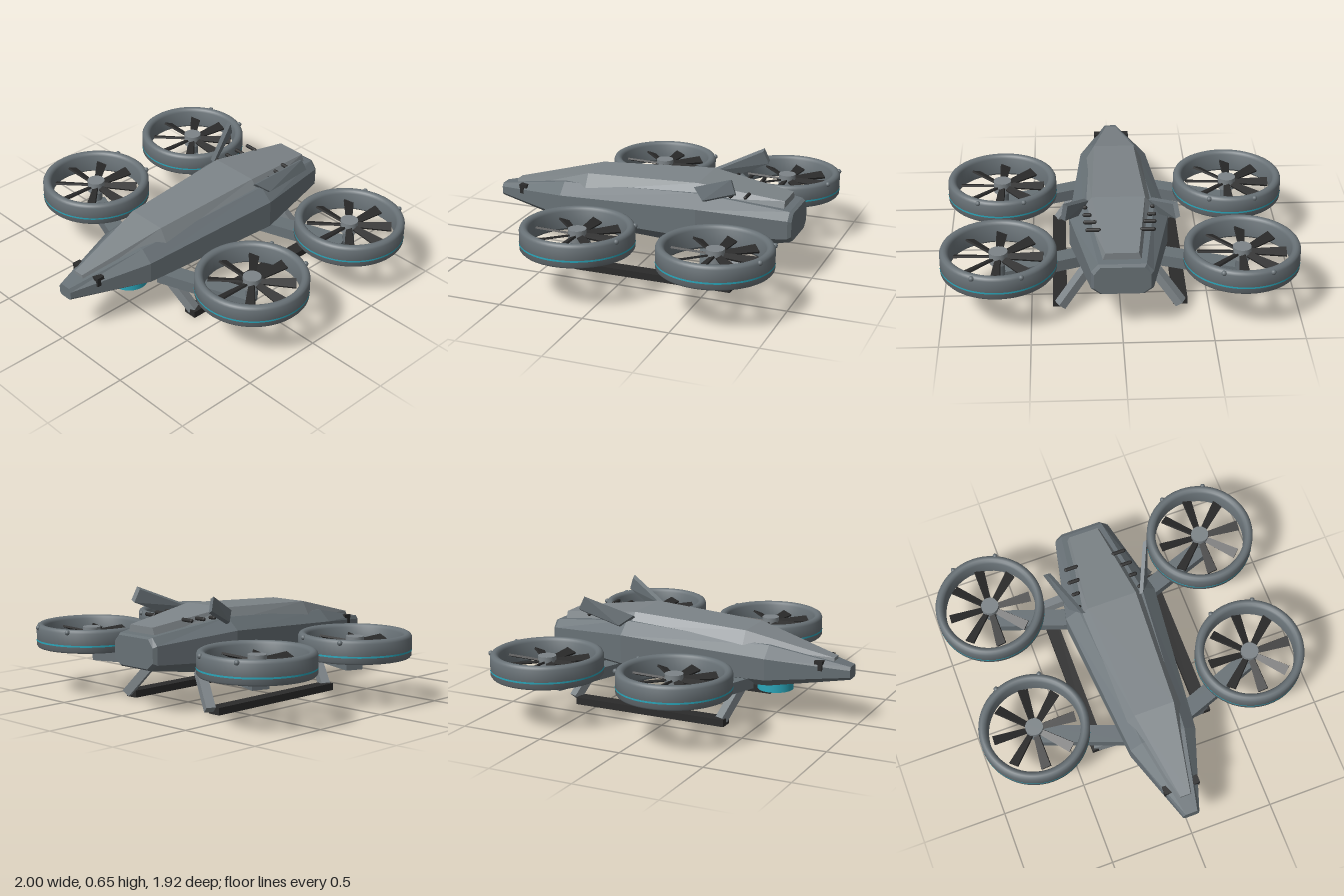
import * as THREE from 'three';
import { toCreasedNormals } from 'three/addons/utils/BufferGeometryUtils.js';
import { ConvexGeometry } from 'three/addons/geometries/ConvexGeometry.js';

const mat = (name, color) => {
  const m = new THREE.MeshStandardMaterial({ color });
  m.name = name;
  return m;
};
const V = (x, y, z) => new THREE.Vector3(x, y, z);

// Faceted hull through cross-sections listed front to back, each counter-clockwise from the front
function loft(sections) {
  const n = sections[0].length, pos = sections.flat(2), idx = [], last = (sections.length - 1) * n;
  for (let i = 0; i < sections.length - 1; i++) {
    for (let j = 0; j < n; j++) {
      const a = i * n + j, b = i * n + (j + 1) % n, c = b + n, d = a + n;
      idx.push(a, d, c, a, c, b);
    }
  }
  for (let j = 1; j < n - 1; j++) idx.push(0, j, j + 1, last, last + j + 1, last + j);
  const g = new THREE.BufferGeometry();
  g.setAttribute('position', new THREE.Float32BufferAttribute(pos, 3));
  g.setIndex(idx);
  const flat = g.toNonIndexed();
  flat.computeVertexNormals();
  return flat;
}

export function createModel() {
  const root = new THREE.Group();
  root.name = 'quadRotorDrone';
  const hullGrey = mat('hullGrey', 0x687176);
  const panelGrey = mat('panelGrey', 0x7d8488);
  const dark = mat('charcoal', 0x2b2b2b);
  const cyan = mat('cyan', 0x2aa6ba);

  const add = (name, geo, material, parent = root, x = 0, y = 0, z = 0) => {
    const m = new THREE.Mesh(geo, material);
    m.name = name;
    m.position.set(x, y, z);
    parent.add(m);
    return m;
  };
  // Box running from a to b
  const beam = (name, a, b, w, h, material) => {
    const mid = a.clone().add(b).multiplyScalar(0.5);
    const m = add(name, new THREE.BoxGeometry(w, h, a.distanceTo(b)), material, root, mid.x, mid.y, mid.z);
    m.lookAt(b);
    return m;
  };

  // Fuselage: octagonal sections [z, half width, top and bottom half widths, four heights]
  const oct = ([z, w, wt, wb, yb, y1, y2, yt]) => [
    [wb, yb, z], [w, y1, z], [w, y2, z], [wt, yt, z],
    [-wt, yt, z], [-w, y2, z], [-w, y1, z], [-wb, yb, z]];
  add('fuselage', loft([
    [0.96, 0.048, 0.035, 0.035, 0.27, 0.285, 0.325, 0.345],
    [0.50, 0.20, 0.13, 0.13, 0.20, 0.25, 0.375, 0.44],
    [-0.38, 0.28, 0.20, 0.19, 0.18, 0.26, 0.43, 0.50],
    [-0.89, 0.17, 0.13, 0.12, 0.248, 0.285, 0.39, 0.435],
    [-0.91, 0.155, 0.12, 0.11, 0.26, 0.295, 0.38, 0.425],
  ].map(oct)), hullGrey);

  // Raised upper panel along the back
  add('upperPanel', loft([
    [0.86, 0.045, 0.03, 0.335, 0.385],
    [0.35, 0.17, 0.12, 0.42, 0.508],
    [-0.35, 0.20, 0.15, 0.475, 0.545],
    [-0.85, 0.115, 0.09, 0.41, 0.48],
  ].map(([z, wb, wt, yb, yt]) => [[wb, yb, z], [wt, yt, z], [-wt, yt, z], [-wb, yb, z]])), panelGrey);

  // Belly sensor
  add('bellySensor', new THREE.CylinderGeometry(0.105, 0.105, 0.07, 40), cyan, root, 0, 0.185, 0.49);

  // Shared rotor geometry
  const ductProfile = [
    [0.27, 0.285], [0.285, 0.27], [0.315, 0.27], [0.323, 0.28], [0.323, 0.385], [0.317, 0.398],
    [0.305, 0.405], [0.292, 0.405], [0.28, 0.398], [0.272, 0.385], [0.27, 0.285],
  ].map(([r, y]) => new THREE.Vector2(r, y));
  const ductGeo = toCreasedNormals(new THREE.LatheGeometry(ductProfile, 64), 0.7);
  const stripeGeo = new THREE.CylinderGeometry(0.325, 0.325, 0.01, 64, 1, true);
  const hubGeo = new THREE.CylinderGeometry(0.052, 0.052, 0.07, 24);
  const shaftGeo = new THREE.CylinderGeometry(0.035, 0.035, 0.1, 20);
  const knobGeo = new THREE.SphereGeometry(0.015, 12, 8);

  // Blade widens towards its tip and is pitched
  const bladeGeo = new THREE.BoxGeometry(0.205, 0.012, 1);
  const p = bladeGeo.attributes.position;
  for (let i = 0; i < p.count; i++) p.setZ(i, p.getZ(i) * (p.getX(i) > 0 ? 0.062 : 0.034));
  bladeGeo.rotateX(0.4);
  bladeGeo.translate(0.145, 0, 0);
  bladeGeo.computeVertexNormals();

  for (const s of [1, -1]) {
    const side = s > 0 ? 'left' : 'right';

    for (const [end, z] of [['Front', 0.17], ['Rear', -0.64]]) {
      // Ducted rotor
      const rotor = new THREE.Group();
      rotor.name = side + end + 'Rotor';
      rotor.position.set(s * 0.675, 0, z);
      root.add(rotor);
      add('duct', ductGeo, hullGrey, rotor);
      add('ductStripe', stripeGeo, cyan, rotor, 0, 0.312, 0);
      add('hub', hubGeo, panelGrey, rotor, 0, 0.345, 0);
      add('shaft', shaftGeo, hullGrey, rotor, 0, 0.275, 0);
      for (let k = 0; k < 8; k++) {
        add('blade', bladeGeo, dark, rotor, 0, 0.345, 0).rotation.y = k * Math.PI / 4 - 0.05;
      }
      for (const x of [-0.133, 0.133]) add('ductKnob', knobGeo, hullGrey, rotor, x, 0.39, -0.292);
    }

    // Rotor arms
    beam(side + 'FrontArm', V(s * 0.14, 0.215, 0.37), V(s * 0.67, 0.215, 0.175), 0.105, 0.068, hullGrey);
    beam(side + 'RearArm', V(s * 0.14, 0.215, -0.42), V(s * 0.67, 0.215, -0.605), 0.105, 0.068, hullGrey);

    // Landing gear
    beam(side + 'FrontLeg', V(s * 0.19, 0.22, 0.365), V(s * 0.34, 0.03, 0.30), 0.055, 0.05, panelGrey);
    beam(side + 'RearLeg', V(s * 0.19, 0.22, -0.59), V(s * 0.34, 0.03, -0.66), 0.055, 0.05, panelGrey);
    add(side + 'Skid', new THREE.BoxGeometry(0.08, 0.042, 0.96), dark, root, s * 0.34, 0.021, -0.15);

    // Swept tail fin
    const corners = [[0.18, 0.525, -0.34], [0.30, 0.64, -0.60], [0.315, 0.565, -0.63], [0.235, 0.47, -0.41]];
    const finPoints = corners.flatMap(([x, y, z]) =>
      [-0.012, 0.012].map((t) => V(s * (x + t), y + t * 0.6, z)));
    add(side + 'TailFin', new ConvexGeometry(finPoints), hullGrey);

    // Row of vent bars, shorter towards the front
    [[-0.645, 0.08, 0.15], [-0.56, 0.07, 0.165], [-0.48, 0.045, 0.18], [-0.395, 0.02, 0.19]].forEach(([z, len, x]) => {
      const bar = add(side + 'VentBar', new THREE.CapsuleGeometry(0.011, len - 0.015, 4, 10), dark, root, s * x, 0.505, z);
      bar.rotation.z = Math.PI / 2;
    });

    // Nose probe: a short bar with a stem
    add(side + 'NoseProbe', new THREE.BoxGeometry(0.045, 0.02, 0.05), dark, root, s * 0.085, 0.365, 0.79);
    add(side + 'NoseProbeStem', new THREE.BoxGeometry(0.014, 0.05, 0.025), dark, root, s * 0.1, 0.345, 0.80);
  }
  return root;
}
